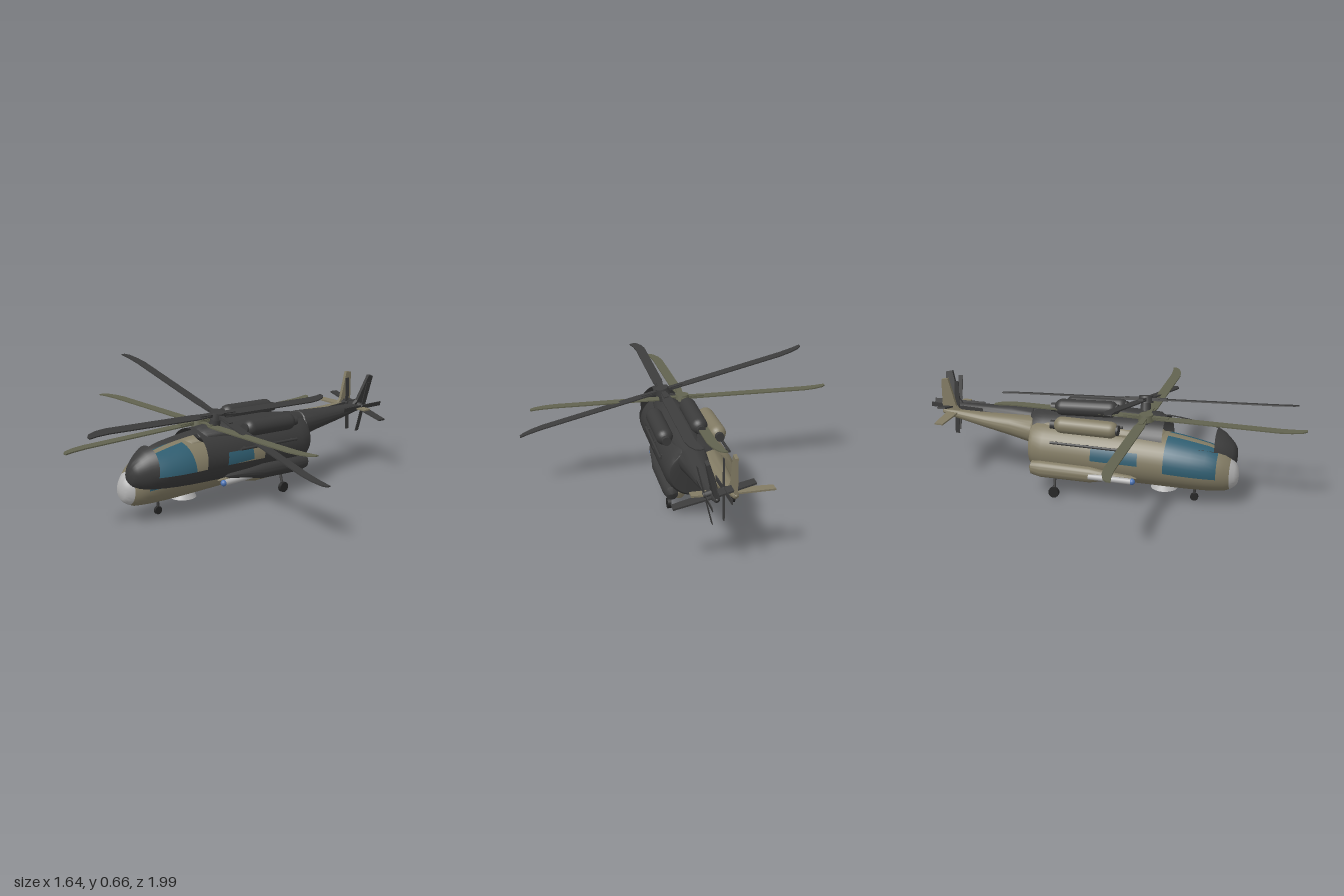
import * as THREE from 'three';
import { toCreasedNormals } from 'three/addons/utils/BufferGeometryUtils.js';

const SEG = 40;
const mat = (name, color, side = THREE.FrontSide) => {
  const m = new THREE.MeshStandardMaterial({ color, side });
  m.name = name;
  return m;
};

// Closed skin through elliptical sections [z, centreY, halfWidth, halfHeight], nose to tail.
// pick(z, elevation) gives the material slot of a panel, or -1 for an opening.
function loft(sections, pick = () => 0, slots = 1) {
  const pos = [], lists = Array.from({ length: slots }, () => []);
  for (const [z, cy, w, h] of sections)
    for (let j = 0; j < SEG; j++) {
      const a = (j / SEG) * Math.PI * 2;
      pos.push(w * Math.cos(a), cy + h * Math.sin(a), z);
    }
  for (let i = 0; i < sections.length - 1; i++)
    for (let j = 0; j < SEG; j++) {
      const zMid = (sections[i][0] + sections[i + 1][0]) / 2;
      const mid = ((j + 0.5) / SEG) * Math.PI * 2;
      const slot = pick(zMid, THREE.MathUtils.radToDeg(Math.asin(Math.sin(mid))));
      if (slot < 0) continue;
      const a = i * SEG + j, b = i * SEG + (j + 1) % SEG, c = a + SEG, d = b + SEG;
      lists[slot].push(a, c, b, b, c, d);
    }
  const g = new THREE.BufferGeometry();
  g.setAttribute('position', new THREE.Float32BufferAttribute(pos, 3));
  g.setIndex(lists.flat());
  let start = 0;
  lists.forEach((l, k) => { g.addGroup(start, l.length, k); start += l.length; });
  return toCreasedNormals(g, 0.7);
}

// Thin plate from a 2D outline, centred on its thickness
function plate(points, t) {
  const s = new THREE.Shape(points.map(([x, y]) => new THREE.Vector2(x, y)));
  return new THREE.ExtrudeGeometry(s, { depth: t, bevelEnabled: false }).translate(0, 0, -t / 2);
}

const FUSELAGE = [
  [0.685, 0.163, 0.001, 0.001], [0.68, 0.164, 0.034, 0.04], [0.667, 0.166, 0.05, 0.06],
  [0.645, 0.171, 0.068, 0.08], [0.62, 0.178, 0.085, 0.097], [0.585, 0.187, 0.104, 0.109],
  [0.53, 0.194, 0.121, 0.119], [0.46, 0.2, 0.134, 0.126], [0.39, 0.206, 0.142, 0.132],
  [0.33, 0.21, 0.145, 0.136], [0.2, 0.212, 0.145, 0.138], [-0.04, 0.213, 0.145, 0.138],
  [-0.3, 0.216, 0.145, 0.138], [-0.35, 0.222, 0.14, 0.13], [-0.372, 0.226, 0.128, 0.118],
  [-0.38, 0.29, 0.072, 0.07], [-0.5, 0.302, 0.058, 0.055], [-0.65, 0.315, 0.044, 0.038],
  [-0.82, 0.333, 0.024, 0.021], [-0.88, 0.34, 0.014, 0.014], [-0.89, 0.341, 0.001, 0.001],
];
const ROOF = [
  [0.32, 0.325, 0.03, 0.01], [0.29, 0.325, 0.06, 0.035], [0.1, 0.33, 0.075, 0.045],
  [-0.15, 0.33, 0.075, 0.045], [-0.32, 0.32, 0.06, 0.04], [-0.48, 0.315, 0.03, 0.03], [-0.5, 0.315, 0.001, 0.001],
];
const SPONSON = [
  [0.2, 0.145, 0.001, 0.001], [0.17, 0.144, 0.012, 0.011], [0.04, 0.14, 0.026, 0.026],
  [-0.04, 0.138, 0.038, 0.042], [-0.3, 0.138, 0.038, 0.044], [-0.35, 0.14, 0.03, 0.035], [-0.365, 0.14, 0.001, 0.001],
];
const BLADE = [
  [-0.016, 0.05], [-0.026, 0.14], [-0.026, 0.66], [-0.016, 0.72], [0.004, 0.772], [0.024, 0.79],
  [0.044, 0.79], [0.033, 0.74], [0.026, 0.67], [0.026, 0.14], [0.016, 0.05],
];

function helicopter(m, o) {
  const g = new THREE.Group();
  const add = (name, geo, material, x = 0, y = 0, z = 0) => {
    const mesh = new THREE.Mesh(geo, material);
    mesh.name = name;
    mesh.position.set(x, y, z);
    g.add(mesh);
    return mesh;
  };

  // Fuselage with tail boom, nose cap, cockpit and cabin windows
  const pick = (z, e) => {
    const glazed = (z < 0.585 && z > 0.33 && e > o.sill && e < 81) || (z < 0.2 && z > -0.04 && e > 0 && e < 27);
    if (glazed) return o.glazed ? 1 : -1;
    return z > 0.645 ? 2 : 0;
  };
  add('fuselage', loft(FUSELAGE, pick, 3), [m.body, m.glass, m.nose]);
  add('roofFairing', loft(ROOF), m.body);

  for (const s of [1, -1]) {
    // Engine pods with intakes and exhausts
    add('enginePod', new THREE.CapsuleGeometry(0.042, 0.25, 8, 20).rotateX(Math.PI / 2), m.body, s * 0.088, 0.368, -0.075);
    add('engineIntake', new THREE.CylinderGeometry(0.026, 0.026, 0.03, 16).rotateX(Math.PI / 2), m.dark, s * 0.088, 0.368, 0.078);
    add('engineExhaust', new THREE.CylinderGeometry(0.022, 0.022, 0.05, 16).rotateX(Math.PI / 2), m.dark, s * 0.088, 0.365, -0.235);
    // Side sponsons and rails
    add('sponson', loft(SPONSON), m.body, s * 0.136);
    add('sideRail', new THREE.CylinderGeometry(0.007, 0.007, 0.38, 8).rotateX(Math.PI / 2), m.dark, s * 0.137, 0.285, -0.06);
    for (const z of [0.1, -0.06, -0.22])
      add('railMount', new THREE.BoxGeometry(0.03, 0.008, 0.012), m.dark, s * 0.126, 0.284, z);
  }

  // Main rotor
  add('rotorMast', new THREE.CylinderGeometry(0.022, 0.03, 0.09, 16), m.dark, 0, 0.385, 0.21);
  add('rotorHub', new THREE.CylinderGeometry(0.034, 0.04, 0.034, 20), m.hub, 0, 0.42, 0.21);
  const rotor = new THREE.Group();
  rotor.name = 'mainRotor';
  rotor.position.set(0, 0.42, 0.21);
  rotor.scale.set(o.rotor, 1, o.rotor);
  for (let k = 0; k < 4; k++) {
    const blade = new THREE.Mesh(plate(BLADE, 0.006).rotateX(Math.PI / 2), m.blade);
    blade.name = 'rotorBlade';
    const grip = new THREE.Mesh(new THREE.BoxGeometry(0.026, 0.016, 0.09), m.hub);
    grip.name = 'bladeGrip';
    grip.position.z = 0.07;
    const arm = new THREE.Group();
    arm.name = 'rotorArm';
    arm.rotation.y = (k * Math.PI) / 2;
    arm.add(blade, grip);
    rotor.add(arm);
  }
  g.add(rotor);

  // Tail fin, drawn in (-z, y), and stabiliser
  const fin = [[0.775, 0.335], [0.81, 0.375], [0.85, 0.522], [0.885, 0.515], [0.885, 0.335]];
  add('tailFin', plate(fin, 0.016).rotateY(Math.PI / 2), m.body);
  for (const s of [1, -1]) {
    const wing = [[0, 0.797], [s * 0.19, 0.805], [s * 0.19, 0.85], [0, 0.858]];
    add('stabiliser', plate(wing, 0.008).rotateX(-Math.PI / 2), m.body, 0, 0.34, 0);
  }

  // Tail rotor on the left side
  const hub = add('tailRotorHub', new THREE.CylinderGeometry(0.014, 0.014, 0.05, 12).rotateZ(Math.PI / 2), m.dark, 0.022, 0.35, -0.825);
  for (let k = 0; k < 4; k++) {
    const b = new THREE.Mesh(new THREE.BoxGeometry(0.004, 0.13, 0.024).translate(0, 0.08, 0), m.dark);
    b.name = 'tailRotorBlade';
    b.position.x = 0.018;
    b.rotation.x = (k * Math.PI) / 2 + 0.03;
    hub.add(b);
  }

  if (!o.gear) return g;

  // Landing gear: nose wheel and two splayed main wheels
  const strut = (x0, y0, x1, y1, z) => {
    const c = new THREE.LineCurve3(new THREE.Vector3(x0, y0, z), new THREE.Vector3(x1, y1, z));
    add('gearStrut', new THREE.TubeGeometry(c, 1, 0.007, 8), m.dark);
  };
  const wheel = (x, r, w, z) =>
    add('wheel', new THREE.CylinderGeometry(r, r, w, 20).rotateZ(Math.PI / 2), m.tyre, x, r, z);
  strut(0, 0.1, 0, 0.02, 0.465);
  wheel(0, 0.02, 0.014, 0.465);
  for (const s of [1, -1]) {
    strut(s * 0.135, 0.11, s * 0.158, 0.03, -0.225);
    wheel(s * 0.162, 0.027, 0.018, -0.225);
    // Sensor tube with a glass tip
    add('sensorTube', new THREE.CylinderGeometry(0.015, 0.015, 0.22, 16).rotateX(Math.PI / 2), m.nose, s * 0.165, 0.138, 0.07);
    add('sensorLens', new THREE.SphereGeometry(0.016, 16, 12), m.lens, s * 0.165, 0.138, 0.183);
    add('sensorMount', new THREE.BoxGeometry(0.04, 0.014, 0.1), m.dark, s * 0.145, 0.142, 0.07);
  }
  // Belly radar dish
  add('bellyRadar', new THREE.CylinderGeometry(0.055, 0.068, 0.026, 28), m.nose, 0, 0.07, 0.31);
  return g;
}

export function createModel() {
  const dark = mat('charcoal', 0x3b3b3b);
  const shell = mat('charcoalShell', 0x3b3b3b, THREE.DoubleSide);
  const tan = mat('tan', 0x827b64);
  const glass = mat('tealGlass', 0x2f5d70);
  const grey = mat('lightGrey', 0xb4b4b4);
  const olive = mat('oliveBlade', 0x62634f);
  const tyre = mat('tyreBlack', 0x262626);
  const lens = mat('blueLens', 0x4c74b4);

  const model = new THREE.Group();
  // Level tan aircraft
  const tanCraft = helicopter(
    { body: tan, glass, nose: grey, blade: olive, hub: olive, dark, tyre, lens },
    { glazed: true, sill: -9, rotor: 1, gear: true });
  tanCraft.name = 'tanHelicopter';
  tanCraft.position.x = -0.03;
  model.add(tanCraft);

  // Dark aircraft overlapping it, banked about its rotor hub, with open windows
  const darkCraft = helicopter(
    { body: shell, glass, nose: shell, blade: dark, hub: dark, dark },
    { glazed: false, sill: 0, rotor: 0.965, gear: false });
  darkCraft.name = 'darkHelicopter';
  darkCraft.position.set(0, -0.42, -0.21);
  const bank = new THREE.Group();
  bank.name = 'darkHelicopterBank';
  bank.position.set(0.08, 0.475, 0.18);
  bank.rotation.set(-0.052, 0, -0.245);
  bank.add(darkCraft);
  model.add(bank);
  return model;
}
